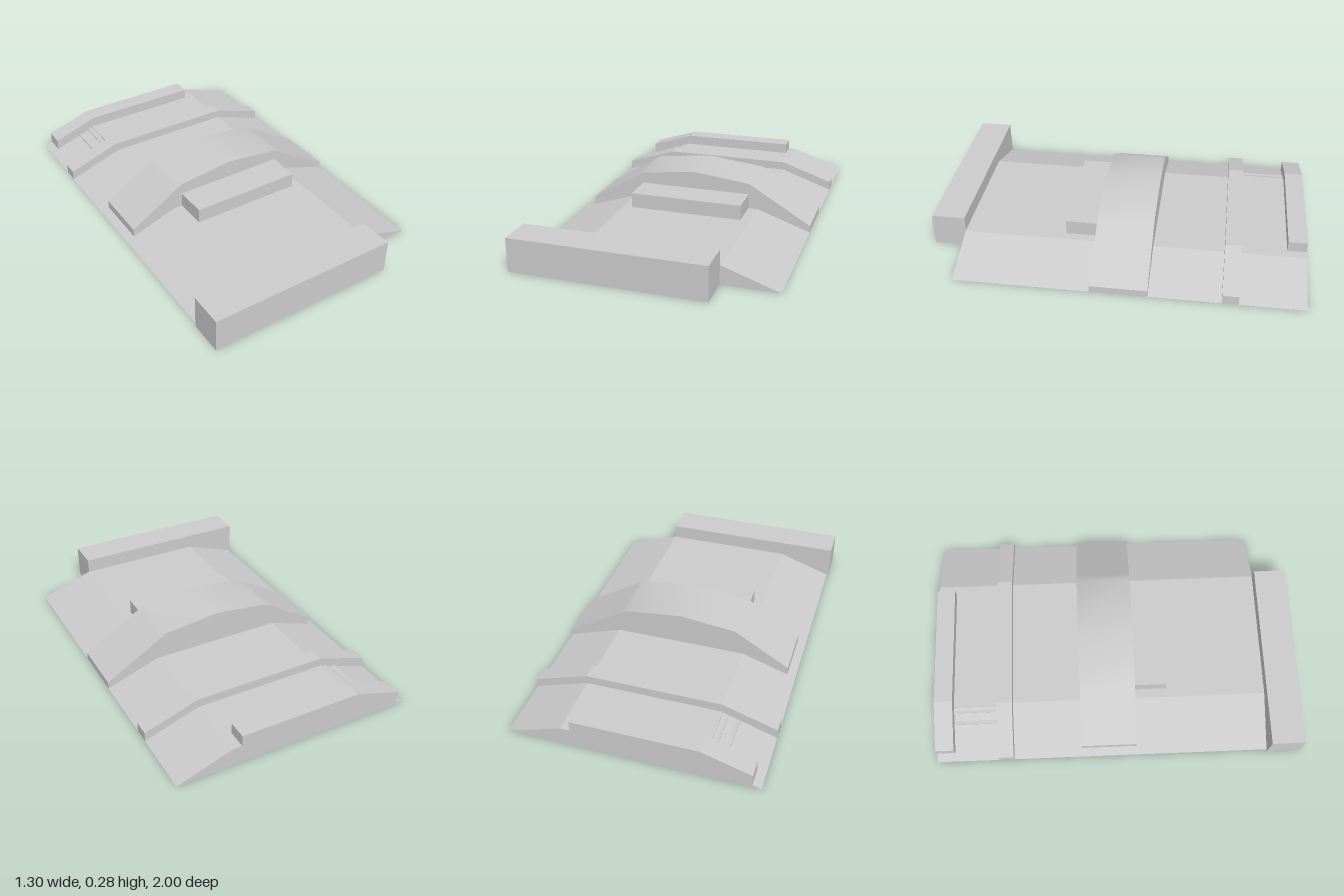
import * as THREE from 'three';
import { toCreasedNormals } from 'three/addons/utils/BufferGeometryUtils.js';

const flat = new THREE.MeshStandardMaterial({ color: 0xcccccc, flatShading: true });
const smooth = new THREE.MeshStandardMaterial({ color: 0xcccccc });

// Extrude an x-y outline between two z positions
function slab(name, outline, z0, z1, material = flat) {
  const shape = new THREE.Shape(outline.map(([x, y]) => new THREE.Vector2(x, y)));
  let geo = new THREE.ExtrudeGeometry(shape, { depth: z1 - z0, bevelEnabled: false });
  geo.translate(0, 0, z0);
  if (material === smooth) geo = toCreasedNormals(geo, Math.PI / 6);
  const mesh = new THREE.Mesh(geo, material);
  mesh.name = name;
  return mesh;
}

const block = (name, x0, x1, h, z0, z1) =>
  slab(name, [[x0, 0], [x1, 0], [x1, h], [x0, h]], z0, z1);

export function createModel() {
  const model = new THREE.Group();
  model.name = 'rampedPlatform';

  // Low platform sloping to the ground on both sides
  model.add(slab('platform', [[-0.645, 0], [0.65, 0], [0.36, 0.1], [-0.35, 0.1]], -1, 0.82));

  // Square wall across the front
  model.add(block('frontWall', -0.655, 0.355, 0.18, 0.82, 1));

  // Tall arched ramp in the middle, with a step in front of it
  model.add(slab('archedRamp', [
    [-0.6, 0], [0.65, 0], [0.65, 0.037], [0.35, 0.216], [0.31, 0.24],
    [0, 0.275], [-0.303, 0.24], [-0.345, 0.214], [-0.6, 0.06],
  ], -0.2, 0.1, smooth));
  model.add(block('step', -0.3, 0.31, 0.18, 0.1, 0.275));

  // Narrow ridge following the platform's outline
  model.add(slab('ridge', [
    [-0.645, 0], [0.65, 0], [0.65, 0.05], [0.36, 0.147], [-0.36, 0.147], [-0.645, 0.053],
  ], -0.66, -0.575));

  // Rear bar, sloping down on one side
  model.add(slab('rearBar', [
    [-0.6, 0], [0.31, 0], [0.31, 0.158], [-0.345, 0.158], [-0.6, 0.076],
  ], -1, -0.9));

  // Small stairs on the slope between ridge and rear bar
  const stairs = new THREE.Group();
  stairs.name = 'stairs';
  for (const [x0, x1] of [[-0.455, -0.435], [-0.395, -0.38], [-0.365, -0.35]]) {
    const top = 0.1 * (x1 + 0.645) / 0.295;
    stairs.add(block('stair', x0, x1, top, -0.9, -0.66));
  }
  model.add(stairs);

  return model;
}
